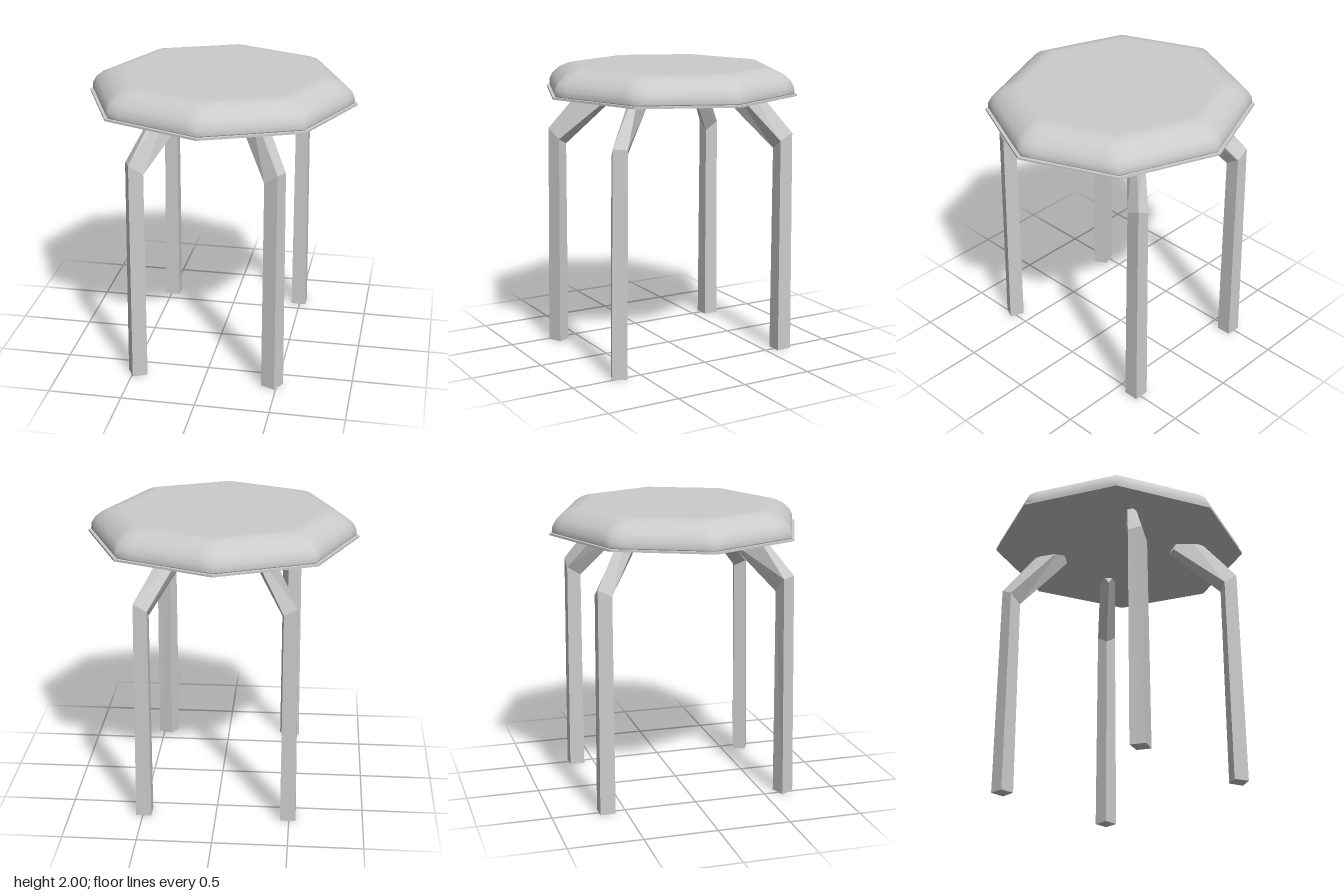
import * as THREE from 'three';
import { mergeVertices } from 'three/addons/utils/BufferGeometryUtils.js';

const DEPTH = 0.95; // the octagon is a little shallower in z than in x
const grey = new THREE.MeshStandardMaterial({ color: 0xcccccc });
const greyFlat = new THREE.MeshStandardMaterial({ color: 0xcccccc, flatShading: true });

function addMesh(group, geometry, material, name) {
  const mesh = new THREE.Mesh(geometry, material);
  mesh.name = name;
  group.add(mesh);
  return mesh;
}

// Rounded profile swept around an octagon, softly shaded at its corners
function cushionGeometry() {
  const profile = [
    [0.0, 1.824], [0.895, 1.824], [0.9, 1.832], [0.897, 1.87], [0.872, 1.913], [0.82, 1.955],
    [0.775, 1.975], [0.735, 1.989], [0.7, 1.995], [0.66, 1.995], [0, 1.995],
  ].map(([r, y]) => new THREE.Vector2(r, y));
  let g = new THREE.LatheGeometry(profile, 64);
  const p = g.attributes.position;
  const step = Math.PI / 4;
  for (let i = 0; i < p.count; i++) {
    const a = Math.atan2(p.getX(i), p.getZ(i)) + 2 * Math.PI + 1e-6;
    const k = Math.cos(step / 2) / Math.cos((a % step) - step / 2);
    p.setXYZ(i, p.getX(i) * k, p.getY(i), p.getZ(i) * k * DEPTH);
  }
  g.deleteAttribute('uv');
  g.deleteAttribute('normal');
  g = mergeVertices(g, 1e-4);
  g.computeVertexNormals();
  return g;
}

// Four-sided bar through rings of corners, ordered clockwise from above;
// flip mirrors it to the other side
function legGeometry(rings, flip) {
  const s = flip ? -1 : 1;
  const positions = rings.flat().flatMap(([x, y, z]) => [s * x, y, z]);
  const index = [];
  const quad = (a, b, c, d) => (flip ? index.push(a, c, b, a, d, c) : index.push(a, b, c, a, c, d));
  const last = (rings.length - 1) * 4;
  for (let r = 0; r < last; r += 4) {
    for (let i = 0; i < 4; i++) {
      const j = (i + 1) % 4;
      quad(r + i, r + j, r + 4 + j, r + 4 + i);
    }
  }
  quad(3, 2, 1, 0);
  quad(last, last + 1, last + 2, last + 3);
  const g = new THREE.BufferGeometry();
  g.setAttribute('position', new THREE.Float32BufferAttribute(positions, 3));
  g.setIndex(index);
  g.computeVertexNormals();
  return g;
}

export function createModel() {
  const stool = new THREE.Group();
  stool.name = 'stool';

  // Seat: thin octagonal board with a padded top
  const board = new THREE.CylinderGeometry(0.918, 0.918, 0.014, 8);
  board.scale(1, 1, DEPTH);
  board.translate(0, 1.817, 0);
  addMesh(stool, board, greyFlat, 'seatBoard');
  addMesh(stool, cushionGeometry(), grey, 'seatCushion');

  // Legs: foot, bend and upper end, each ring given by its four corners
  const frontLeg = [
    [[0.49, 0, 0.712], [0.54, 0, 0.62], [0.44, 0, 0.585], [0.395, 0, 0.67]],
    [[0.485, 1.54, 0.687], [0.527, 1.53, 0.6], [0.435, 1.43, 0.577], [0.395, 1.47, 0.65]],
    [[0.25, 1.94, 0.39], [0.285, 1.997, 0.355], [0.225, 1.77, 0.285], [0.19, 1.765, 0.36]],
  ];
  const backLeg = [
    [[0.545, 0, -0.575], [0.545, 0, -0.68], [0.44, 0, -0.68], [0.44, 0, -0.575]],
    [[0.53, 1.49, -0.575], [0.53, 1.54, -0.67], [0.44, 1.49, -0.67], [0.44, 1.43, -0.575]],
    [[0.275, 1.86, -0.32], [0.26, 1.997, -0.38], [0.2, 1.87, -0.4], [0.215, 1.76, -0.325]],
  ];
  for (const flip of [false, true]) {
    const side = flip ? 'Right' : 'Left';
    addMesh(stool, legGeometry(frontLeg, flip), greyFlat, 'front' + side + 'Leg');
    addMesh(stool, legGeometry(backLeg, flip), greyFlat, 'back' + side + 'Leg');
  }
  return stool;
}
